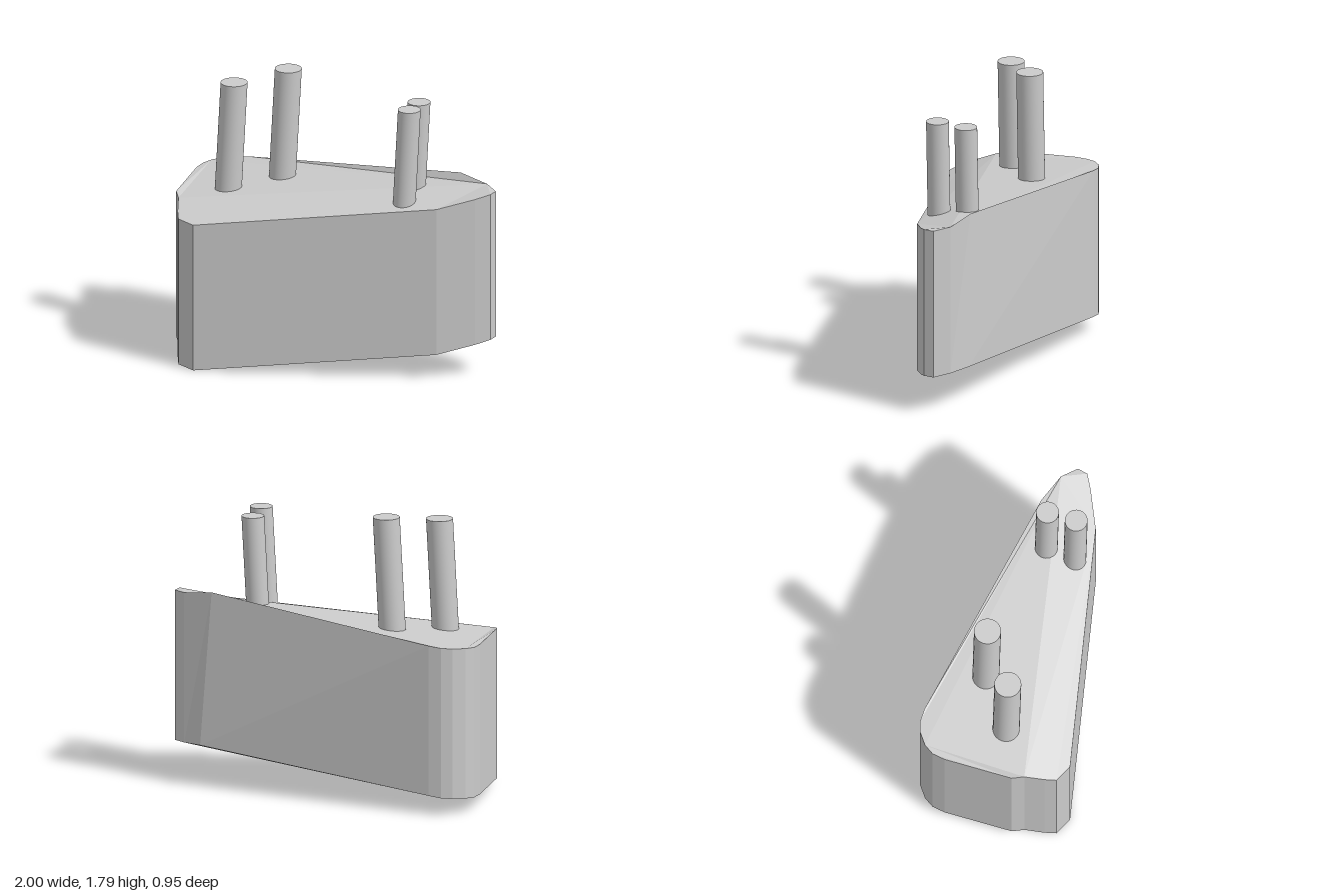
import * as THREE from 'three';

// Body outline, counter-clockwise from above: [x, z, height of the top edge]
const OUTLINE = [
  [-1, 0.16, 1.045], [-0.965, 0.23, 1.03], [-0.935, 0.35, 0.99], [-0.91, 0.42, 0.965],
  [-0.8, 0.475, 0.955], [0.68, 0.22, 1.12], [0.9, 0.125, 1.175], [0.985, 0.08, 1.2],
  [1, 0.015, 1.2], [0.92, -0.07, 1.21], [0.73, -0.14, 1.24], [-0.72, -0.475, 1.075],
  [-0.8, -0.48, 1.065], [-0.87, -0.46, 1.06], [-0.94, -0.41, 1.055], [-0.98, -0.35, 1.05],
  [-0.995, -0.27, 1.05],
];
const PEAK = 10; // raised corner that folds the caps
const DEPTH = 0.95;

// Sloping block: the same outline at top and bottom, joined by flat walls
function createBody() {
  const top = OUTLINE.map(([x, z, y]) => [x, y, z]);
  const bottom = OUTLINE.map(([x, z, y], i) =>
    i === PEAK ? [0.8, y - DEPTH - 0.02, -0.15] : [x, y - DEPTH, z]);
  const n = OUTLINE.length;
  const positions = [];
  const tri = (...corners) => corners.forEach((c) => positions.push(...c));

  // Caps: the main face, plus a folded sliver at the peak
  const ring = OUTLINE.map((_, i) => i).filter((i) => i !== PEAK);
  const contour = ring.map((i) => new THREE.Vector2(OUTLINE[i][0], -OUTLINE[i][1]));
  const faces = THREE.ShapeUtils.triangulateShape(contour, []).map((f) => f.map((k) => ring[k]));
  faces.push([PEAK - 1, PEAK, PEAK + 1]);
  for (const [a, b, c] of faces) {
    tri(top[a], top[b], top[c]);
    tri(bottom[a], bottom[c], bottom[b]);
  }

  // Walls
  for (let i = 0; i < n; i++) {
    const j = (i + 1) % n;
    tri(bottom[i], bottom[j], top[j]);
    tri(bottom[i], top[j], top[i]);
  }

  const geometry = new THREE.BufferGeometry();
  geometry.setAttribute('position', new THREE.Float32BufferAttribute(positions, 3));
  geometry.computeVertexNormals();
  const material = new THREE.MeshStandardMaterial({ color: 0xcccccc, flatShading: true });
  const mesh = new THREE.Mesh(geometry, material);
  mesh.name = 'body';
  return mesh;
}

// Leaning post with a level top, its foot sunk into the body
function createPost(name, x, z, topY, footY, radius) {
  const height = topY - footY;
  const geometry = new THREE.CylinderGeometry(radius, radius, height, 32);
  geometry.translate(0, -height / 2, 0);
  geometry.applyMatrix4(new THREE.Matrix4().makeShear(0, 0, 0.053, 0, 0, 0).identity()
    .set(1, 0.053, 0, 0, 0, 1, 0, 0, 0, 0, 1, 0, 0, 0, 0, 1));
  const mesh = new THREE.Mesh(geometry, new THREE.MeshStandardMaterial({ color: 0xcccccc }));
  mesh.position.set(x, topY, z);
  mesh.name = name;
  return mesh;
}

export function createModel() {
  const model = new THREE.Group();
  model.name = 'blockWithPosts';
  model.add(
    createBody(),
    createPost('wideEndFrontPost', -0.665, 0.04, 1.75, 0.95, 0.083),
    createPost('wideEndBackPost', -0.38, -0.17, 1.795, 1.0, 0.083),
    createPost('narrowEndFrontPost', 0.487, 0.15, 1.73, 1.05, 0.07),
    createPost('narrowEndBackPost', 0.495, -0.035, 1.715, 1.05, 0.07),
  );
  return model;
}
